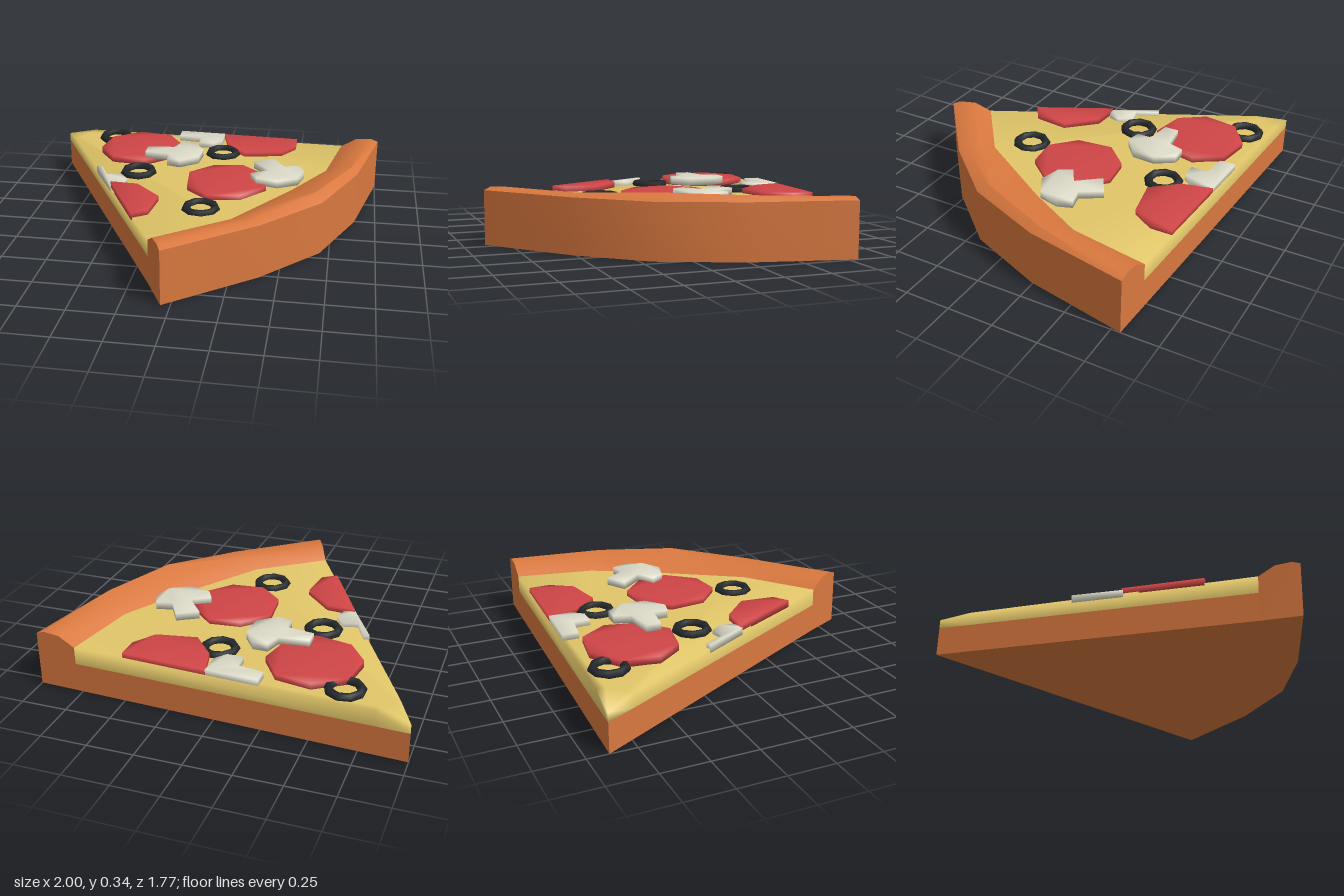
import * as THREE from 'three';
import { mergeVertices, toCreasedNormals } from 'three/addons/utils/BufferGeometryUtils.js';

const mat = (name, color) => Object.assign(new THREE.MeshStandardMaterial({ color }), { name });

// Slice plan as [x, z]: tip, inner and outer edge of the crust from back to front
const TIP = [-1, -0.89];
const INNER = [[0.78, -0.81], [0.70, -0.38], [0.52, -0.06], [0.21, 0.41], [-0.15, 0.68]];
const OUTER = [[1, -0.80], [0.88, -0.24], [0.70, 0.19], [0.40, 0.52], [-0.05, 0.88]];
const CREST = [0.315, 0.33, 0.34, 0.318, 0.315];
const mix = (a, b, t) => [a[0] + (b[0] - a[0]) * t, a[1] + (b[1] - a[1]) * t];

function indexed(positions, index) {
  const g = new THREE.BufferGeometry();
  g.setAttribute('position', new THREE.Float32BufferAttribute(positions.flat(), 3));
  g.setIndex(index);
  g.computeVertexNormals();
  return g;
}

// Flat slab from a plan outline, standing between two heights
function slab(outline, y0, y1) {
  const shape = new THREE.Shape(outline.map(([x, z]) => new THREE.Vector2(x, -z)));
  const g = new THREE.ExtrudeGeometry(shape, { depth: y1 - y0, bevelEnabled: false });
  g.rotateX(-Math.PI / 2).translate(0, y0, 0);
  return g;
}

// Slab with normals shared around its rim, for a soft look
function softSlab(outline, y0, y1) {
  const g = slab(outline, y0, y1);
  g.deleteAttribute('uv');
  g.deleteAttribute('normal');
  const m = mergeVertices(g, 1e-4);
  m.computeVertexNormals();
  return m;
}

// Raised crust: one closed cross-section per station, joined in a loft
function crustGeometry() {
  const pos = [], idx = [], n = 6, last = INNER.length - 1;
  INNER.forEach((p, k) => {
    const profile = [[0, 0], [0, 0.255], [0.4, 0.308], [0.8, CREST[k]], [1, 0.30], [1, 0]];
    for (const [t, y] of profile) {
      const [x, z] = mix(p, OUTER[k], t);
      pos.push([x, y, z]);
    }
  });
  for (let k = 0; k < last; k++) {
    for (let j = 0; j < n; j++) {
      const a = k * n + j, b = k * n + (j + 1) % n;
      idx.push(a, a + n, b, b, a + n, b + n);
    }
  }
  for (let j = 1; j < n - 1; j++) {
    idx.push(0, j, j + 1);
    idx.push(last * n, last * n + j + 1, last * n + j);
  }
  return toCreasedNormals(indexed(pos, idx), 0.8);
}

// Cheese: fan from a drooping tip plus walls along both cut edges
function cheeseGeometry() {
  const pos = [[TIP[0], 0.21, TIP[1]]], idx = [], n = INNER.length;
  INNER.forEach((p, k) => {
    const [x, z] = mix(TIP, p, 0.1);
    pos.push([x, 0.247 - 0.003 * k, z]);
  });
  INNER.forEach(([x, z]) => pos.push([x, 0.256, z]));
  for (let k = 1; k < n; k++) {
    idx.push(0, k + 1, k, k, k + 1, k + n, k + 1, k + n + 1, k + n);
  }
  const path = [2 * n, n, 0, 1, n + 1], base = pos.length;
  path.forEach((i) => pos.push([pos[i][0], 0.16, pos[i][2]]));
  for (let i = 0; i < path.length - 1; i++) {
    const p = path[i], q = path[i + 1], pb = base + i;
    idx.push(p, q, pb, q, pb + 1, pb);
  }
  return indexed(pos, idx);
}

const PEPPERONI = [
  [[-0.49, -0.80], [-0.30, -0.77], [-0.20, -0.62], [-0.24, -0.45], [-0.38, -0.32], [-0.58, -0.36], [-0.68, -0.50], [-0.65, -0.69]],
  [[0.05, -0.31], [0.22, -0.33], [0.36, -0.20], [0.38, -0.03], [0.25, 0.12], [0.07, 0.14], [-0.06, 0.02], [-0.08, -0.18]],
  [[0.04, -0.842], [0.50, -0.82], [0.50, -0.70], [0.42, -0.58], [0.20, -0.54], [0.08, -0.68]],
  [[-0.50, 0.03], [-0.34, 0.04], [-0.19, 0.19], [-0.21, 0.38], [-0.29, 0.435]],
];

// Mushroom slices: base height, then outline with stem and cap
const MUSHROOMS = [
  [0.275, [[-0.38, -0.45], [-0.22, -0.47], [-0.19, -0.56], [-0.11, -0.56], [-0.04, -0.46], [-0.05, -0.33], [-0.15, -0.25], [-0.23, -0.27], [-0.23, -0.35], [-0.38, -0.37]]],
  [0.27, [[0.28, -0.32], [0.39, -0.385], [0.46, -0.27], [0.55, -0.29], [0.58, -0.21], [0.55, -0.10], [0.44, -0.04], [0.32, -0.07], [0.28, -0.14], [0.38, -0.20]]],
  [0.24, [[-0.24, -0.855], [0.04, -0.842], [0.04, -0.72], [-0.01, -0.66], [-0.10, -0.66], [-0.10, -0.75], [-0.24, -0.77]]],
  [0.225, [[-0.64, -0.21], [-0.61, -0.22], [-0.55, -0.10], [-0.47, -0.12], [-0.42, -0.05], [-0.44, 0.02], [-0.50, 0.04]]],
];

const OLIVES = [[-0.65, -0.755], [0.065, -0.57], [-0.385, -0.20], [0.055, 0.26]];

export function createModel() {
  const model = new THREE.Group();
  model.name = 'pizzaSlice';
  const crust = mat('crust', 0xd9783f);
  const cheese = mat('cheese', 0xe0c568);
  const meat = mat('pepperoni', 0xcf4546);
  const mushroom = mat('mushroom', 0xdcdac8);
  const olive = mat('olive', 0x24282a);
  const add = (name, geometry, material) => {
    const mesh = new THREE.Mesh(geometry, material);
    mesh.name = name;
    model.add(mesh);
    return mesh;
  };

  add('doughBase', slab([TIP, ...INNER], 0, 0.16), crust);
  add('crust', crustGeometry(), crust);
  add('cheese', cheeseGeometry(), cheese);

  PEPPERONI.forEach((outline, i) => add(`pepperoni${i + 1}`, softSlab(outline, 0.24, 0.28), meat));
  MUSHROOMS.forEach(([y, outline], i) => add(`mushroom${i + 1}`, softSlab(outline, y, y + 0.042), mushroom));

  // Olive rings
  const ring = new THREE.TorusGeometry(0.083, 0.024, 6, 9).rotateX(Math.PI / 2);
  OLIVES.forEach(([x, z], i) => add(`olive${i + 1}`, ring, olive).position.set(x, 0.254, z));

  return model;
}
